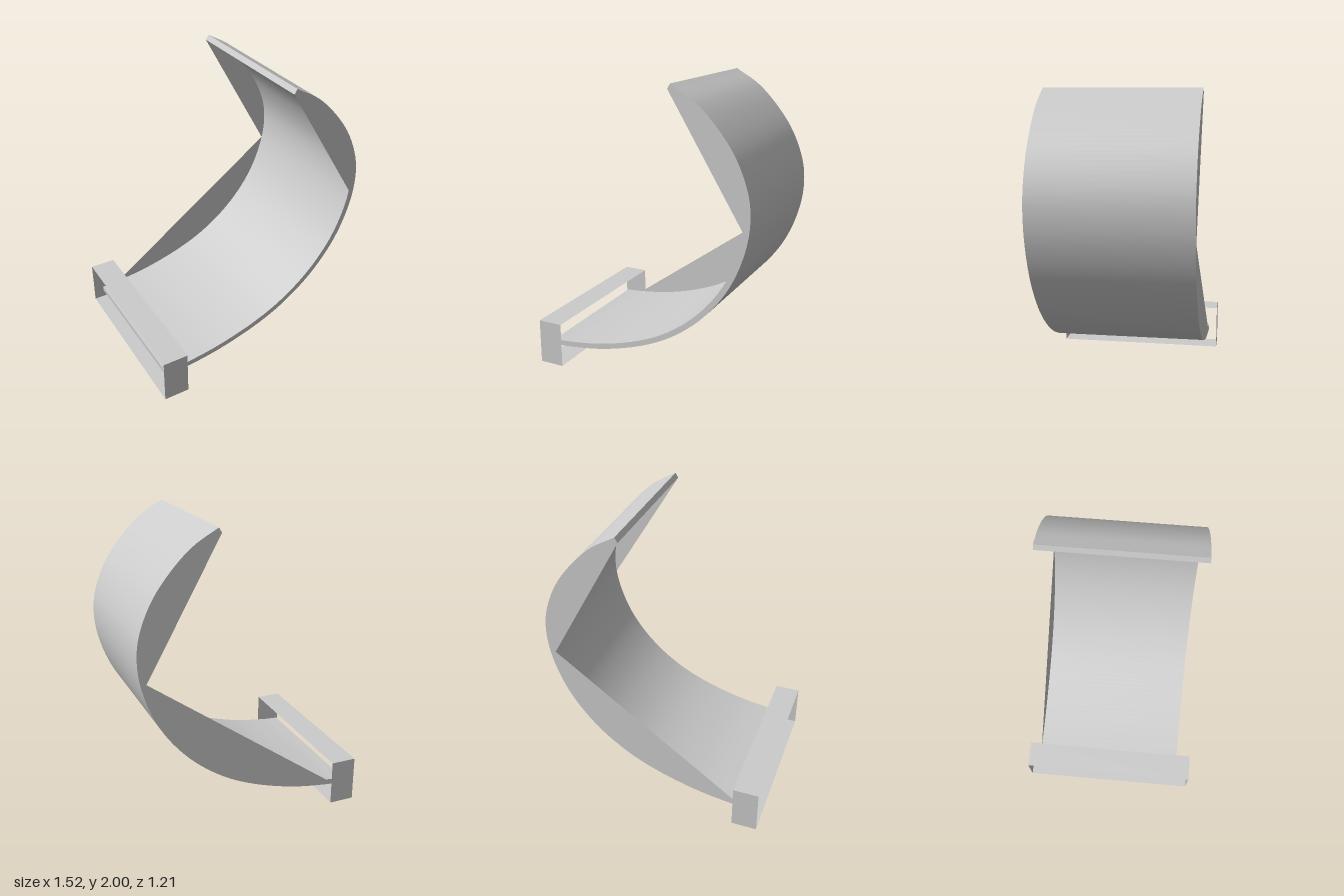
import * as THREE from 'three';
import { toCreasedNormals } from 'three/addons/utils/BufferGeometryUtils.js';

const HALF_WIDTH = 0.525;
const THICKNESS = 0.038;

export function createModel() {
  const model = new THREE.Group();
  const solid = new THREE.MeshStandardMaterial({ color: 0xcccccc });
  const sheet = new THREE.MeshStandardMaterial({ color: 0xcccccc, side: THREE.DoubleSide });

  const add = (name, geometry, material) => {
    const mesh = new THREE.Mesh(geometry, material);
    mesh.name = name;
    model.add(mesh);
    return mesh;
  };

  // The band leans very slightly sideways along its length
  const skew = (geometry) => {
    const p = geometry.attributes.position;
    for (let i = 0; i < p.count; i++) {
      const x = p.getX(i), y = p.getY(i), z = p.getZ(i);
      p.setX(i, x + 0.006 * z);
      p.setZ(i, z - 0.016 + 0.009 * (x + 0.6) + 0.007 * y);
    }
    geometry.computeVertexNormals();
    return geometry;
  };

  // Outer profile of the band, and an inner profile offset from it
  const curve = new THREE.CatmullRomCurve3([
    [-0.71, 0.105], [-0.59, 0.113], [-0.31, 0.156], [0, 0.25], [0.22, 0.36],
    [0.43, 0.525], [0.6, 0.735], [0.7, 0.945], [0.75, 1.16], [0.742, 1.36],
    [0.66, 1.58], [0.537, 1.755], [0.39, 1.9], [0.225, 2.0],
  ].map(([x, y]) => new THREE.Vector3(x, y, 0)), false, 'centripetal');
  const outer = [], inner = [];
  const steps = 90;
  for (let i = 0; i <= steps; i++) {
    const p = curve.getPointAt(i / steps);
    const t = curve.getTangentAt(i / steps);
    outer.push(new THREE.Vector2(p.x, p.y));
    inner.push(new THREE.Vector2(p.x - t.y * THICKNESS, p.y + t.x * THICKNESS));
  }
  const band = new THREE.ExtrudeGeometry(
    new THREE.Shape([...outer, ...inner.slice().reverse()]),
    { depth: 2 * HALF_WIDTH, bevelEnabled: false },
  );
  band.translate(0, 0, -HALF_WIDTH);
  add('curvedBand', toCreasedNormals(skew(band), 0.6), solid);

  // Thin side webs, each closing a stretch of the inner curve with a straight chord
  const nearest = (x, y) => {
    const target = new THREE.Vector2(x, y);
    let best = 0;
    inner.forEach((p, i) => {
      if (p.distanceTo(target) < inner[best].distanceTo(target)) best = i;
    });
    return best;
  };
  const addWeb = (name, from, to, z) => {
    const points = inner.slice(nearest(...from), nearest(...to) + 1);
    const web = new THREE.ShapeGeometry(new THREE.Shape(points));
    web.translate(0, 0, z);
    add(name, skew(web), sheet);
  };
  addWeb('backLowerWeb', [-0.57, 0.15], [0.71, 1.08], -HALF_WIDTH);
  addWeb('backUpperWeb', [0.71, 1.08], [0.21, 1.97], -HALF_WIDTH);
  addWeb('frontUpperWeb', [0.72, 1.13], [0.21, 1.97], HALF_WIDTH);

  // Thin-walled rectangular loop, open along x
  const loop = new THREE.Group();
  loop.name = 'endLoop';
  const depth = 0.175, height = 0.313, width = 1.206;
  for (const s of [-1, 1]) {
    const end = new THREE.Mesh(new THREE.PlaneGeometry(depth, height), sheet);
    end.name = s > 0 ? 'loopFront' : 'loopBack';
    end.position.z = s * width / 2;
    if (s < 0) end.rotation.y = Math.PI;
    const plate = new THREE.Mesh(new THREE.PlaneGeometry(depth, width), sheet);
    plate.name = s > 0 ? 'loopTop' : 'loopBottom';
    plate.position.y = s * height / 2;
    plate.rotation.x = -s * Math.PI / 2;
    loop.add(end, plate);
  }
  loop.position.set(-0.677, height / 2, -0.002);
  model.add(loop);

  return model;
}
